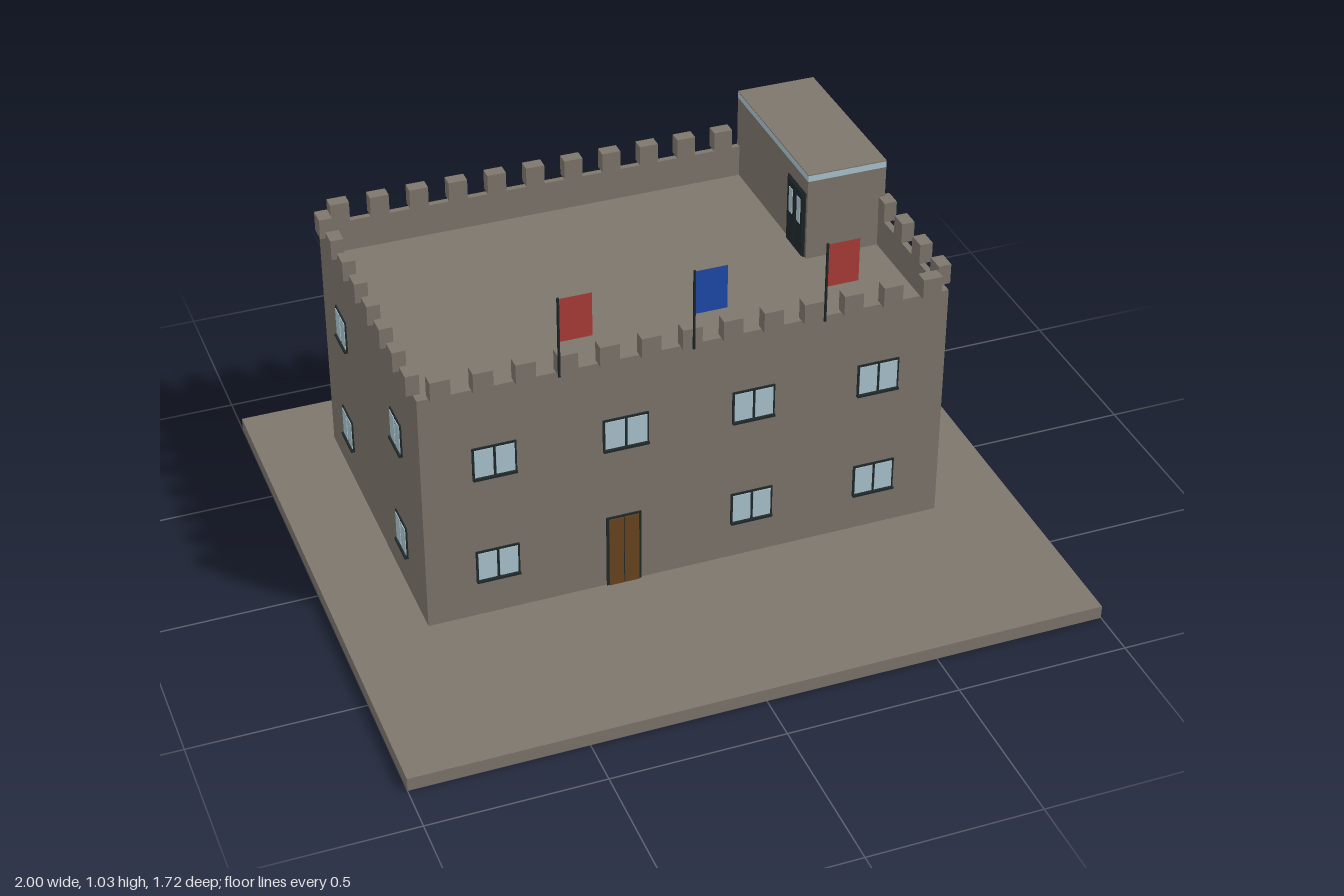
import * as THREE from 'three';

const mat = (name, color, extra = {}) => {
  const m = new THREE.MeshStandardMaterial({ color, ...extra });
  m.name = name;
  return m;
};

export function createModel() {
  const stone = mat('stone', 0x7d766c);
  const glass = mat('glass', 0xacc5cf);
  const frame = mat('darkFrame', 0x20292b);
  const wood = mat('wood', 0x6a4520);
  const red = mat('redCloth', 0xac3d39, { side: THREE.DoubleSide });
  const blue = mat('blueCloth', 0x1f4aab, { side: THREE.DoubleSide });

  const castle = new THREE.Group();
  castle.name = 'castle';

  // Box from its min and max corners
  const box = (parent, name, material, x0, x1, y0, y1, z0, z1) => {
    const m = new THREE.Mesh(new THREE.BoxGeometry(x1 - x0, y1 - y0, z1 - z0), material);
    m.position.set((x0 + x1) / 2, (y0 + y1) / 2, (z0 + z1) / 2);
    m.name = name;
    parent.add(m);
    return m;
  };

  // Main extents
  const L = -0.765, R = 0.76, B = -0.67, F = 0.285;
  const floor = 0.69, top = 0.787, t = 0.018;

  box(castle, 'groundSlab', stone, -1, 1, 0, 0.04, -0.86, 0.86);
  box(castle, 'mainBlock', stone, L, R, 0.04, floor, B, F);

  // Parapet walls around the sunken roof
  box(castle, 'parapetFront', stone, L, R, floor, top, F - t, F);
  box(castle, 'parapetBack', stone, L, R, floor, top, B, B + t);
  box(castle, 'parapetLeft', stone, R - t, R, floor, top, B + t, F - t);
  box(castle, 'parapetRight', stone, L, L + t, floor, top, B + t, F - t);

  // Battlements
  const merlons = new THREE.Group();
  merlons.name = 'battlements';
  castle.add(merlons);
  const merlonTop = 0.848;
  for (let i = 0; i < 13; i++) {
    const x = -0.705 + i * 0.1172;
    for (const z of [F, B]) {
      box(merlons, 'merlon', stone, x - 0.028, x + 0.028, top, merlonTop, z - 0.019, z + 0.019);
    }
  }
  for (let i = 0; i < 8; i++) {
    const z = 0.228 - i * 0.1195;
    for (const x of [L, R]) {
      box(merlons, 'merlon', stone, x - 0.019, x + 0.019, top, merlonTop, z - 0.026, z + 0.026);
    }
  }

  // Roof house with a glazed band under its cap
  box(castle, 'roofHouse', stone, 0.52, R, floor, 0.943, B, -0.145);
  box(castle, 'roofHouseGlassBand', glass, 0.52, R, 0.943, 0.962, B, -0.145);
  box(castle, 'roofHouseCap', stone, 0.52, R, 0.962, 0.965, B, -0.145);

  // Group lying on a wall: local +z points out of it
  const turns = { front: 0, back: Math.PI, left: Math.PI / 2, right: -Math.PI / 2 };
  const onWall = (name, side, u, y, plane) => {
    const g = new THREE.Group();
    g.name = name;
    g.rotation.y = turns[side];
    if (side === 'front' || side === 'back') g.position.set(u, y, plane);
    else g.position.set(plane, y, u);
    castle.add(g);
    return g;
  };

  // Two panes in a dark frame, y is the lower edge
  const addWindow = (side, u, y, plane, w = 0.125, h = 0.1) => {
    const g = onWall('window', side, u, y, plane);
    const e = 0.006, m = 0.004;
    box(g, 'windowFrame', frame, -w / 2, w / 2, 0, h, 0, 0.004);
    box(g, 'pane', glass, -w / 2 + e, -m, e, h - e, 0.003, 0.006);
    box(g, 'pane', glass, m, w / 2 - e, e, h - e, 0.003, 0.006);
    box(g, 'windowSill', frame, -w / 2, w / 2, -0.003, 0.004, 0, 0.011);
  };

  // Door leaves in a dark frame
  const addDoor = (side, u, y, plane, w, h, leaves, leafMaterial) => {
    const g = onWall('door', side, u, y, plane);
    const e = 0.006, lw = (w - 2 * e) / leaves;
    box(g, 'doorFrame', frame, -w / 2, w / 2, 0, h, 0, 0.004);
    for (let i = 0; i < leaves; i++) {
      const x = -w / 2 + e + i * lw;
      box(g, 'doorLeaf', leafMaterial, x + 0.0015, x + lw - 0.0015, 0, h - e, 0.003, 0.007);
    }
  };

  // Front
  [-0.56, -0.187, 0.185, 0.557].forEach((x, i) => {
    addWindow('front', x, 0.5, F, i === 1 ? 0.132 : 0.125);
    if (i !== 1) addWindow('front', x, 0.157, F);
  });
  addDoor('front', -0.195, 0.04, F, 0.102, 0.232, 2, wood);

  // Sides and back, two storeys
  for (const [upper, y] of [[true, 0.498], [false, 0.153]]) {
    addWindow('left', 0.06, y, R, 0.102);
    addWindow('right', 0.065, y, L, 0.102);
    addWindow('right', -0.474, y, L, 0.102);
    for (const x of [0.394, 0.14, -0.118, -0.377, -0.623]) {
      addWindow('back', x, upper ? 0.482 : 0.155, B, 0.11);
    }
    addWindow('back', 0.64, upper ? 0.604 : 0.285, B, 0.11, 0.055);
  }
  addDoor('left', -0.225, 0.04, R, 0.104, 0.213, 1, wood);
  addDoor('right', -0.218, floor, 0.52, 0.125, 0.21, 2, frame);
  const doorGlass = onWall('roofDoorGlass', 'right', -0.218, floor, 0.52);
  for (const s of [-1, 1]) {
    box(doorGlass, 'pane', glass, s * 0.028 - 0.012, s * 0.028 + 0.012, 0.1, 0.18, 0.006, 0.009);
  }

  // Flags on the front parapet
  [[-0.38, red], [0, blue], [0.38, red]].forEach(([x, cloth]) => {
    const g = new THREE.Group();
    g.name = 'flag';
    g.position.set(x, 0, 0.308);
    castle.add(g);
    const pole = new THREE.Mesh(new THREE.CylinderGeometry(0.004, 0.004, 0.245, 8), frame);
    pole.name = 'flagPole';
    pole.position.y = 0.9095;
    g.add(pole);
    const flag = new THREE.Mesh(new THREE.PlaneGeometry(0.092, 0.133), cloth);
    flag.name = 'flagCloth';
    flag.position.set(0.048, 0.963, 0);
    g.add(flag);
  });

  return castle;
}
